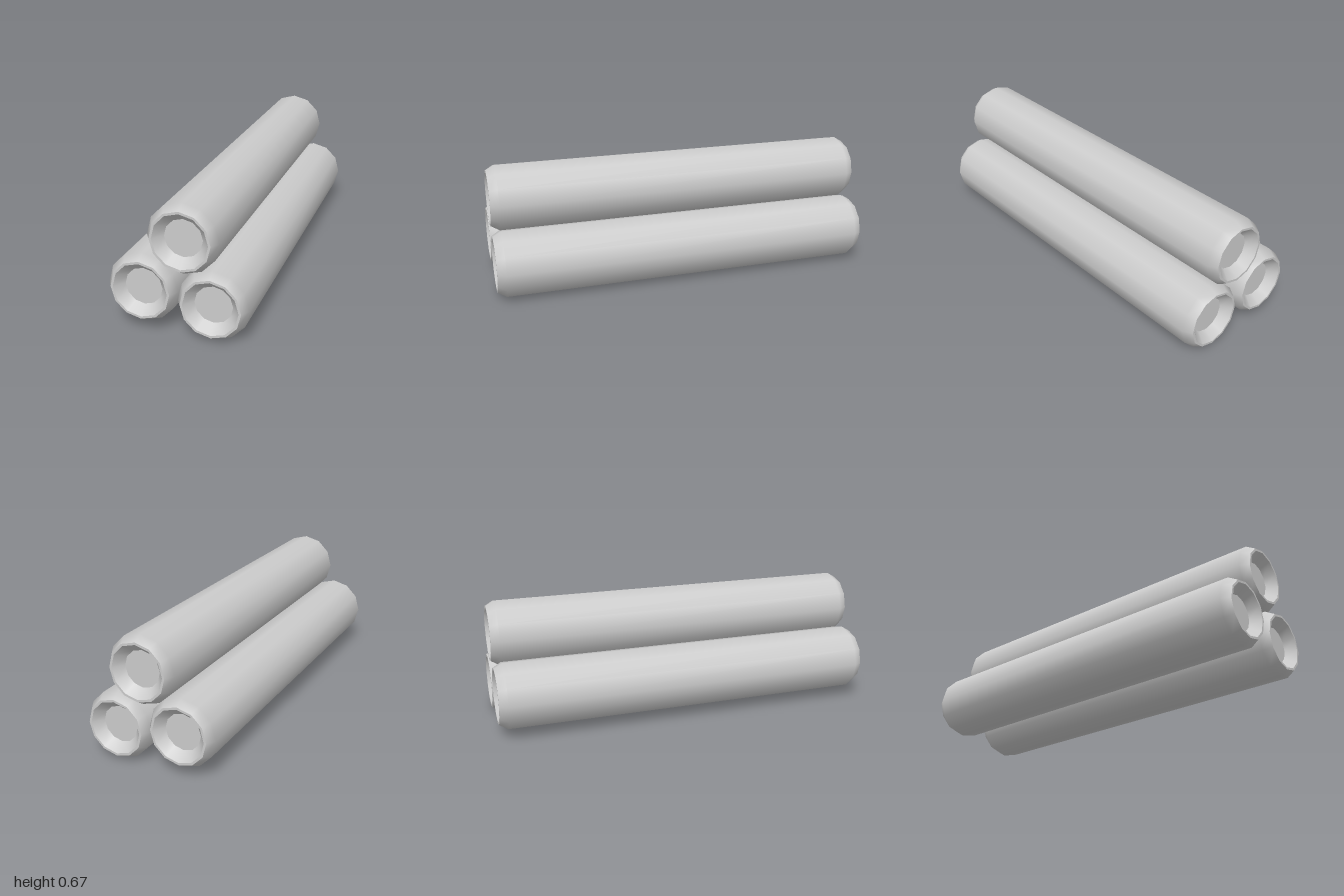
import * as THREE from 'three';

const SIDES = 12;
const HALF = 1.03;      // half length of a tube
const R = 0.177;        // outer radius
const RIM = 0.15;       // outer radius of the flat end lip
const MOUTH = 0.138;    // inner radius of the lip
const FLOOR = 0.095;    // radius of the recessed disc
const BEVEL = 0.045;
const DEPTH = 0.05;

const material = new THREE.MeshStandardMaterial({ color: 0xcccccc });

// Surface of revolution lying along x; each piece keeps its own smooth normals
function turned(name, profile) {
  const points = profile.map(([r, a]) => new THREE.Vector2(r, a));
  const geometry = new THREE.LatheGeometry(points, SIDES);
  geometry.rotateZ(-Math.PI / 2);
  const mesh = new THREE.Mesh(geometry, material);
  mesh.name = name;
  return mesh;
}

function createTube(name) {
  const tube = new THREE.Group();
  tube.name = name;

  // Long wall with bevelled ends
  tube.add(turned('tubeWall', [
    [RIM, -HALF], [R, -HALF + BEVEL], [R, HALF - BEVEL], [RIM, HALF],
  ]));

  // Lip, tapered recess and disc at both ends
  for (const side of [1, -1]) {
    const end = new THREE.Group();
    end.name = side > 0 ? 'tubeEndA' : 'tubeEndB';
    end.add(turned('endLip', [[RIM, HALF], [MOUTH, HALF]]));
    end.add(turned('endRecess', [[MOUTH, HALF], [FLOOR, HALF - DEPTH]]));
    end.add(turned('endDisc', [[FLOOR, HALF - DEPTH], [0, HALF - DEPTH]]));
    if (side < 0) end.rotation.y = Math.PI;
    tube.add(end);
  }
  return tube;
}

export function createModel() {
  const bundle = new THREE.Group();
  bundle.name = 'tubeBundle';

  // Two tubes below and one resting on top, slightly rolled
  const places = [
    ['lowerFrontTube', 0.177, 0.175],
    ['lowerBackTube', 0.217, -0.175],
    ['upperTube', 0.495, 0.034],
  ];
  for (const [name, y, z] of places) {
    const tube = createTube(name);
    tube.position.set(0, y, z);
    bundle.add(tube);
  }

  // The bundle lies diagonally on the ground
  bundle.rotation.y = THREE.MathUtils.degToRad(40);
  const model = new THREE.Group();
  model.name = 'model';
  model.add(bundle);
  return model;
}
